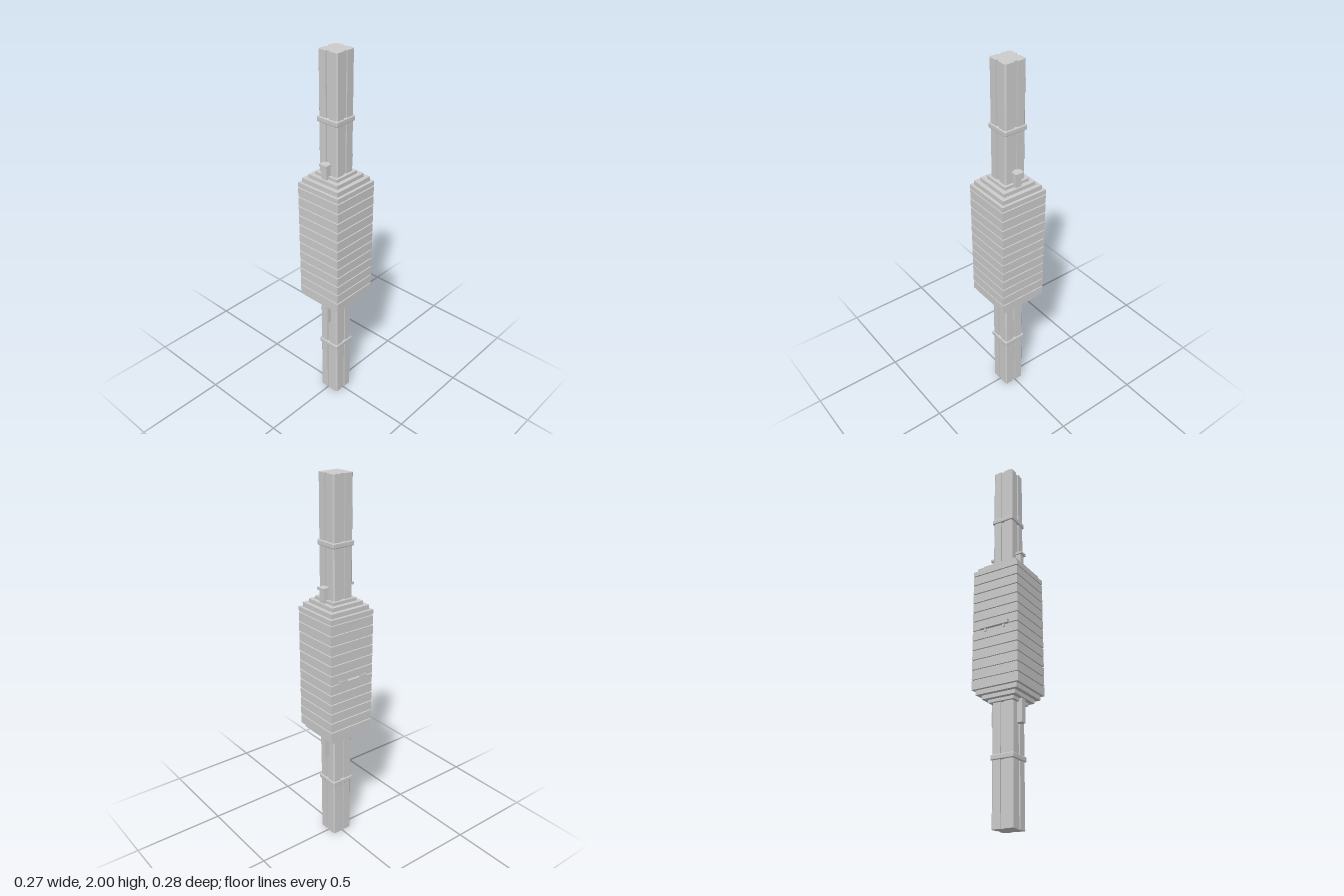
import * as THREE from 'three';
import { RoundedBoxGeometry } from 'three/addons/geometries/RoundedBoxGeometry.js';

const material = new THREE.MeshStandardMaterial({ color: 0xcccccc, flatShading: true });

function add(parent, name, geometry, x = 0, y = 0, z = 0) {
  const mesh = new THREE.Mesh(geometry, material);
  mesh.name = name;
  mesh.position.set(x, y, z);
  parent.add(mesh);
  return mesh;
}

// Box given by its size and the height of its underside
function box(parent, name, w, h, d, x, y0, z = 0) {
  return add(parent, name, new THREE.BoxGeometry(w, h, d), x, y0 + h / 2, z);
}

// Square post section with chamfered corners and a groove in the middle of each side
function postShape() {
  const r = 0.059, c = 0.007, n = 0.01, g = 0.007;
  const side = [[r, -r + c], [r, -n], [r - g, -n], [r - g, n], [r, n], [r, r - c]];
  const points = [];
  for (let i = 0; i < 4; i++) {
    for (const [x, y] of side) {
      points.push(new THREE.Vector2(x, y).rotateAround(new THREE.Vector2(), i * Math.PI / 2));
    }
  }
  return new THREE.Shape(points);
}

export function createModel() {
  const model = new THREE.Group();
  model.name = 'postWithSlattedHousing';
  const main = new THREE.Group();
  main.name = 'main';
  main.position.z = 0.0075;
  model.add(main);

  // Full-height post
  const post = new THREE.ExtrudeGeometry(postShape(), { depth: 2, bevelEnabled: false });
  post.rotateX(-Math.PI / 2);
  add(main, 'post', post);

  // Bands around the post
  for (const y of [0.336, 1.67]) {
    add(main, 'postBand', new RoundedBoxGeometry(0.129, 0.027, 0.129, 2, 0.005), 0, y, 0);
  }

  // Housing: a core with slats separated by narrow grooves
  const bottom = 0.669, top = 1.336, pitch = 0.0535, gap = 0.006;
  box(main, 'housingCore', 0.25, top - bottom - 0.004, 0.25, 0, bottom + 0.002);
  for (let i = 0; i < 13; i++) {
    const y = bottom + i * pitch;
    const h = Math.min(pitch - gap, top - y);
    box(main, 'slat', 0.266, h, 0.266, 0, y);
  }

  // Stepped caps above and below the housing
  const tiers = [[0.118, 0.024], [0.096, 0.02], [0.073, 0.016]];
  let rise = 0;
  for (const [half, h] of tiers) {
    box(main, 'upperStep', half * 2, h, half * 2, 0, top + rise);
    box(main, 'lowerStep', half * 2, h, half * 2, 0, bottom - rise - h);
    rise += h;
  }

  // Side lugs: capped ones on top, longer plain ones underneath
  for (const s of [-1, 1]) {
    box(main, 'upperLug', 0.032, 0.1, 0.034, s * 0.071, 1.35);
    box(main, 'upperLugCap', 0.044, 0.013, 0.048, s * 0.074, 1.446);
    box(main, 'lowerLug', 0.032, 0.14, 0.034, s * 0.071, 0.503);
  }

  // Ledge on the back with raised lips and small brackets at its ends
  const ledge = new THREE.Group();
  ledge.name = 'rearLedge';
  model.add(ledge);
  box(ledge, 'ledgePlate', 0.166, 0.012, 0.02, 0, 0.985, -0.131);
  for (const s of [-1, 1]) {
    box(ledge, 'ledgeLip', 0.046, 0.008, 0.004, s * 0.06, 0.997, -0.139);
    box(ledge, 'ledgeEnd', 0.004, 0.008, 0.018, s * 0.081, 0.997, -0.132);
    box(ledge, 'ledgeBracket', 0.012, 0.015, 0.01, s * 0.055, 0.971, -0.128);
  }

  return model;
}
